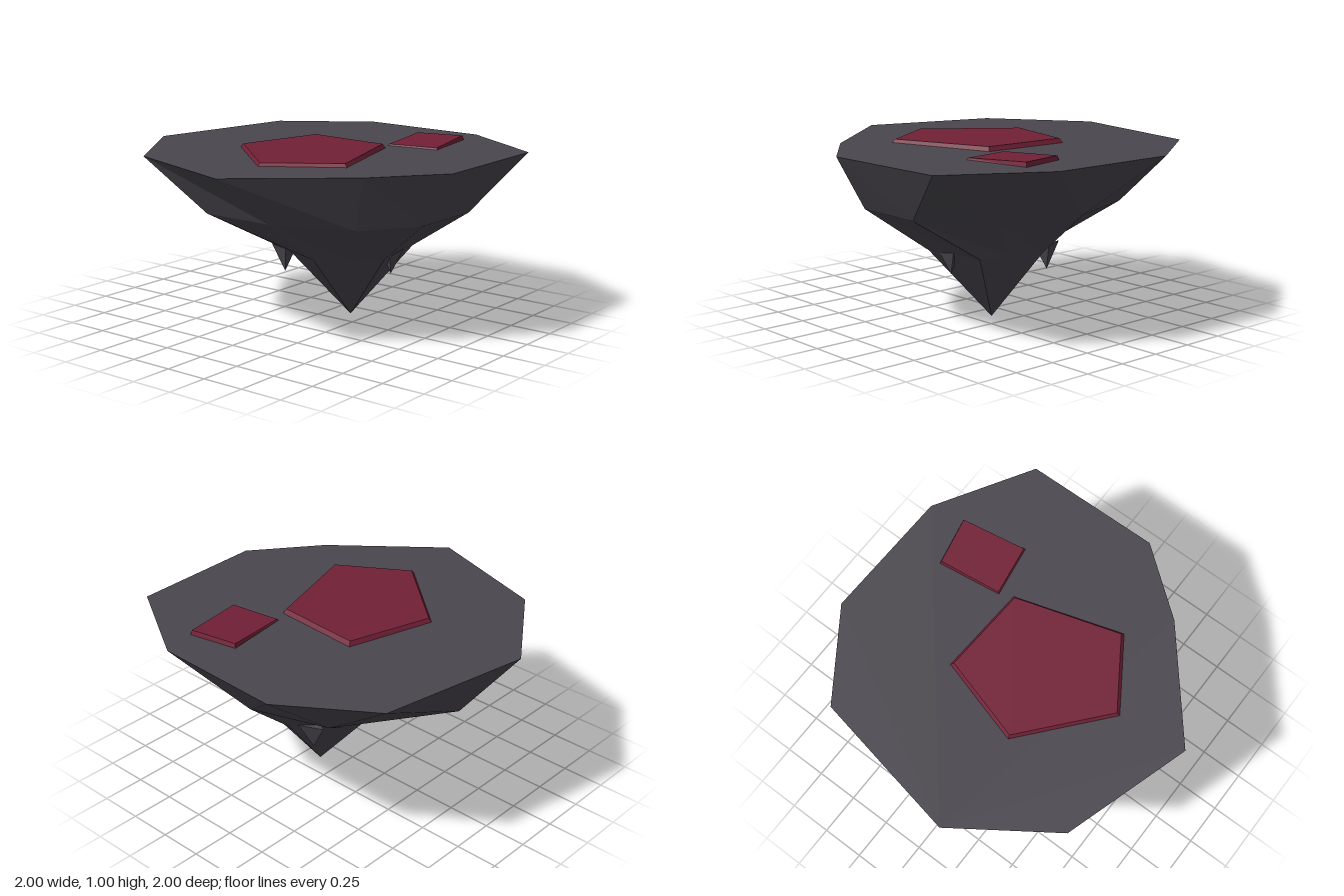
import * as THREE from 'three';

const rockMaterial = new THREE.MeshStandardMaterial({ color: 0x4a464e, flatShading: true });
rockMaterial.name = 'charcoal rock';
const redMaterial = new THREE.MeshStandardMaterial({ color: 0x722036, flatShading: true });
redMaterial.name = 'dark red stone';

// Faceted solid from stacked rings of [x, y, z], top ring first, clockwise from above.
function loft(rings, apex) {
  const pos = [];
  const tri = (a, b, c) => pos.push(...a, ...b, ...c);
  const n = rings[0].length;
  for (let i = 0; i < n; i++) {
    const j = (i + 1) % n;
    for (let r = 0; r + 1 < rings.length; r++) {
      const up = rings[r], low = rings[r + 1];
      tri(up[i], up[j], low[i]);
      tri(up[j], low[j], low[i]);
    }
    const last = rings[rings.length - 1];
    if (apex) tri(last[i], last[j], apex);
    else if (i > 0 && i < n - 1) tri(last[0], last[i], last[j]);
    if (i > 0 && i < n - 1) tri(rings[0][0], rings[0][j], rings[0][i]);
  }
  const g = new THREE.BufferGeometry();
  g.setAttribute('position', new THREE.Float32BufferAttribute(pos, 3));
  g.computeVertexNormals();
  return g;
}

const level = (points, y) => points.map(([x, z]) => [x, y, z]);

// Low slab with a narrow bevel and a gently tilted top.
function slab(points, topY) {
  const n = points.length;
  const cx = points.reduce((s, p) => s + p[0], 0) / n;
  const cz = points.reduce((s, p) => s + p[1], 0) / n;
  const top = points.map(([x, z]) => {
    const px = cx + (x - cx) * 0.955, pz = cz + (z - cz) * 0.955;
    return [px, topY(px, pz), pz];
  });
  return loft([top, level(points, 0.972)]);
}

export function createModel() {
  const group = new THREE.Group();
  const add = (name, geometry, material) => {
    const mesh = new THREE.Mesh(geometry, material);
    mesh.name = name;
    group.add(mesh);
    return mesh;
  };

  // Island body: flat top narrowing through two rings to a point
  const rim = [[-0.22, -1], [0.66, -0.83], [1, -0.33], [0.98, 0.44], [0.65, 0.99],
    [-0.14, 1], [-0.52, 0.7], [-1, 0.12], [-0.77, -0.62]];
  const middle = [[0.02, -0.79], [0.61, -0.39], [0.76, 0.05], [0.58, 0.51], [0.29, 0.83],
    [-0.14, 0.82], [-0.46, 0.61], [-0.62, 0.15], [-0.62, -0.29]];
  const lower = [[0.02, -0.2], [0.27, -0.16], [0.46, 0.06], [0.42, 0.26], [0.35, 0.42],
    [-0.01, 0.48], [-0.17, 0.36], [-0.28, 0.19], [-0.2, -0.04]];
  add('rockBody', loft([level(rim, 0.975), level(middle, 0.67), level(lower, 0.41)],
    [0.13, 0, 0.14]), rockMaterial);

  // Red paving slabs on the top
  add('largeSlab', slab([[-0.21, -0.4], [0.3, -0.25], [0.27, 0.28], [-0.35, 0.47], [-0.61, 0.07]],
    (x) => 0.997 + 0.01 * x), redMaterial);
  add('smallSlab', slab([[0.34, 0.24], [0.72, 0.19], [0.78, 0.48], [0.39, 0.55]],
    (x) => 0.983 + 0.042 * (x - 0.34)), redMaterial);

  // Small hanging spikes around the lower ring: tip x, tip z, turn
  const spikes = [[0.12, 0.43, 0], [0.38, -0.05, 2.2], [-0.2, -0.08, 4]];
  for (const [x, z, turn] of spikes) {
    const spike = add('hangingSpike', new THREE.ConeGeometry(0.085, 0.15, 3), rockMaterial);
    spike.rotation.set(Math.PI, turn, 0);
    spike.position.set(x, 0.365, z);
  }
  return group;
}
